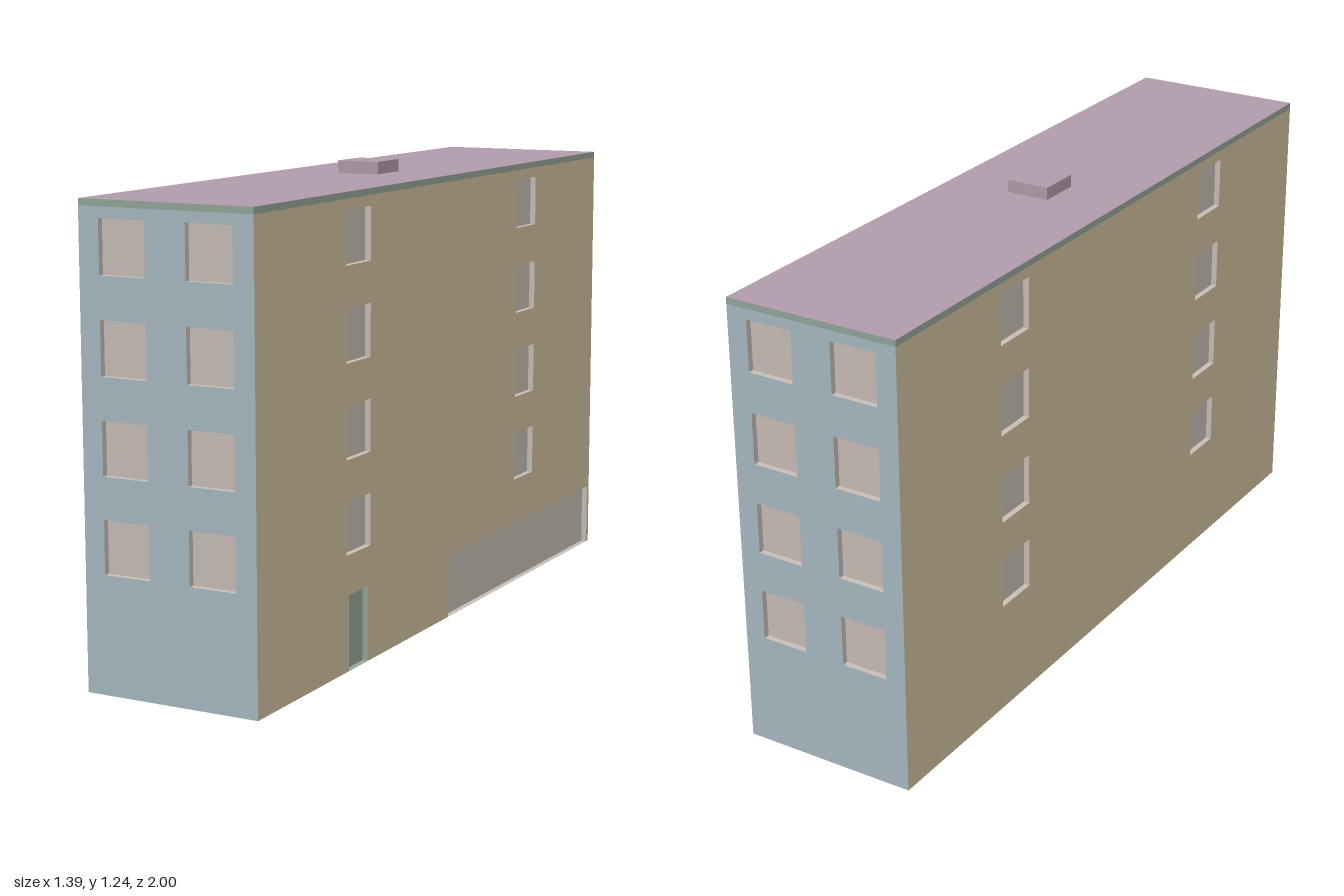
import * as THREE from 'three';

const W = 0.48, L = 2.016, H = 1.19, TOP = 1.207, DEPTH = 0.016;
const mat = (color) => new THREE.MeshStandardMaterial({ color, flatShading: true });
const paint = {
  side: mat(0xd0c09c), end: mat(0xa6b7c0), roof: mat(0xb09aaa),
  trim: mat(0x93a598), glass: mat(0xc6bcb4), door: mat(0x93a598), base: mat(0xcccccc),
};

function add(parent, name, geometry, material) {
  const mesh = new THREE.Mesh(geometry, material);
  mesh.name = name;
  parent.add(mesh);
  return mesh;
}

// Box seen from inside with its outward (+z) side left open
function recessGeometry(w, h) {
  const g = new THREE.BoxGeometry(w, h, DEPTH);
  const index = Array.from(g.index.array);
  index.splice(24, 6);
  g.setIndex(index.reverse());
  g.clearGroups();
  g.computeVertexNormals();
  return g;
}

// Four storeys of windows in each column
function windows(columns) {
  const list = [];
  for (const x of columns) {
    for (let i = 0; i < 4; i++) {
      list.push({ name: 'window', x, y: 0.301 + i * 0.242, w: 0.128, h: 0.136, material: paint.glass });
    }
  }
  return list;
}

// Wall facing +z with recessed openings; openings at y = 0 notch the outline
function makeWall(name, width, material, openings) {
  const wall = new THREE.Group();
  wall.name = name;
  const shape = new THREE.Shape();
  shape.moveTo(-width / 2, 0);
  for (const o of openings.filter((p) => p.y === 0).sort((a, b) => a.x - b.x)) {
    const l = o.x - o.w / 2, r = o.x + o.w / 2;
    shape.lineTo(l, 0).lineTo(l, o.h).lineTo(r, o.h).lineTo(r, 0);
  }
  shape.lineTo(width / 2, 0).lineTo(width / 2, H).lineTo(-width / 2, H).closePath();
  for (const o of openings) {
    if (o.y > 0) {
      const l = o.x - o.w / 2, r = o.x + o.w / 2, t = o.y + o.h;
      shape.holes.push(new THREE.Path().moveTo(l, o.y).lineTo(l, t).lineTo(r, t).lineTo(r, o.y).closePath());
    }
    add(wall, o.name, recessGeometry(o.w, o.h), o.material)
      .position.set(o.x, o.y + o.h / 2, -DEPTH / 2);
  }
  add(wall, 'wallFace', new THREE.ShapeGeometry(shape), material);
  return wall;
}

export function createModel() {
  const model = new THREE.Group();
  model.name = 'apartmentBlock';
  const building = new THREE.Group();
  building.name = 'building';
  building.rotation.y = THREE.MathUtils.degToRad(-28.8);
  model.add(building);

  // Long walls: the entrance side also has a door and a wide shopfront
  const entrance = [
    { name: 'door', x: -0.507, y: 0, w: 0.103, h: 0.197, material: paint.door },
    { name: 'shopfront', x: 0.503, y: 0, w: 0.984, h: 0.174, material: paint.glass },
  ];
  for (const s of [1, -1]) {
    const openings = windows([-0.506, 0.506]).concat(s > 0 ? entrance : []);
    const wall = makeWall(s > 0 ? 'entranceWall' : 'rearWall', L, paint.side, openings);
    wall.rotation.y = s * Math.PI / 2;
    wall.position.x = s * W / 2;
    building.add(wall);
  }

  // End walls
  for (const s of [1, -1]) {
    const wall = makeWall('endWall', W, paint.end, windows([-0.12, 0.12]));
    wall.rotation.y = s > 0 ? 0 : Math.PI;
    wall.position.z = s * L / 2;
    building.add(wall);
  }

  // Underside, eaves band and roof
  add(building, 'base', new THREE.PlaneGeometry(W, L).rotateX(Math.PI / 2), paint.base);
  const band = new THREE.BoxGeometry(W, TOP - H, L);
  const bandMesh = add(building, 'eavesBand', band,
    [paint.trim, paint.trim, paint.roof, paint.trim, paint.trim, paint.trim]);
  bandMesh.position.y = (TOP + H) / 2;

  // Roof hatch
  add(building, 'roofHatch', new THREE.BoxGeometry(0.12, 0.033, 0.12), paint.roof)
    .position.y = TOP + 0.0165;

  return model;
}
